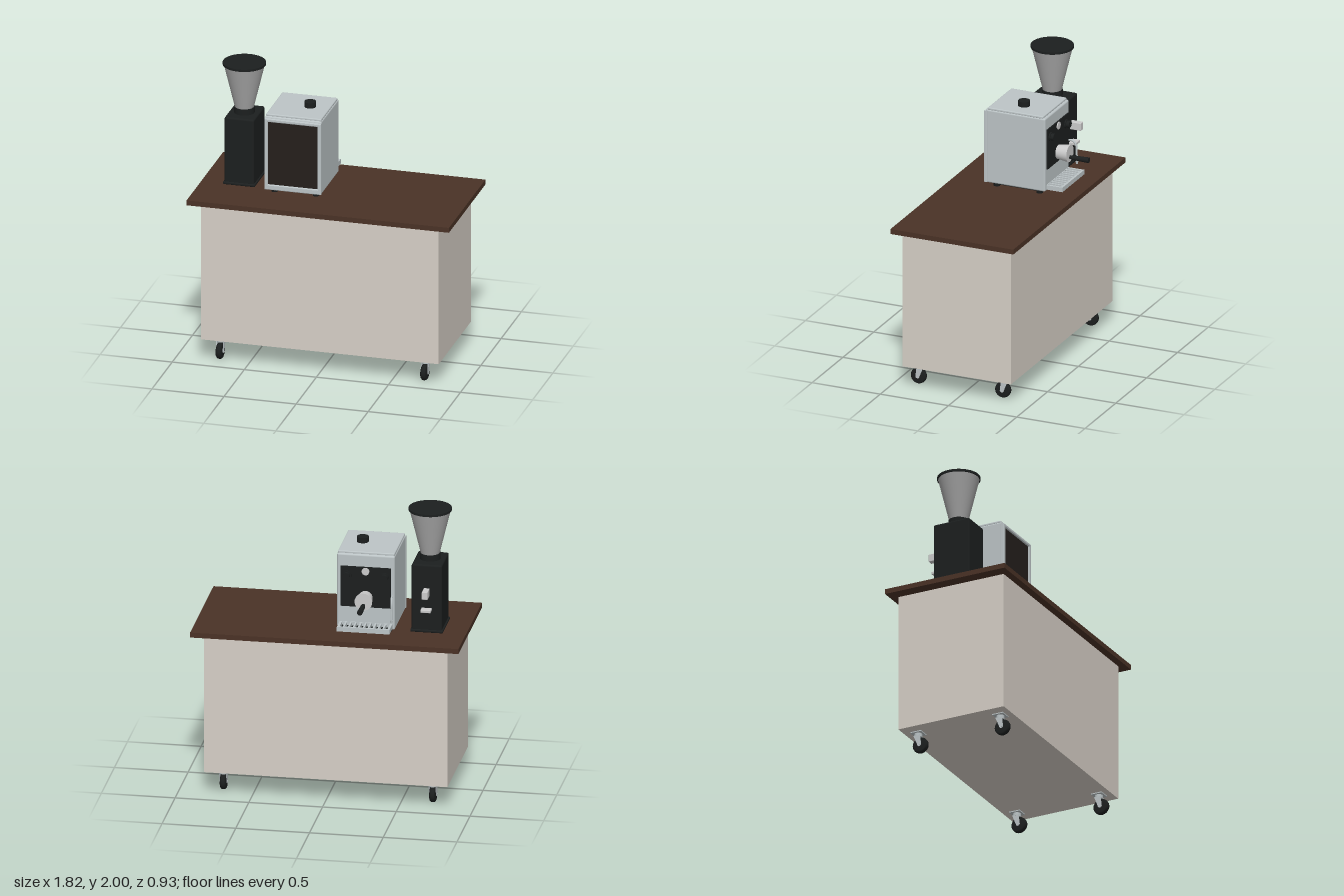
import * as THREE from 'three';
import { RoundedBoxGeometry } from 'three/addons/geometries/RoundedBoxGeometry.js';

const mat = (color) => new THREE.MeshStandardMaterial({ color });
const cream = mat(0xd6cfc6), wood = mat(0x4a3226), black = mat(0x1c1f1f);
const steel = mat(0xbcc4c6), pale = mat(0xcccccc), smoke = mat(0xa8a8a8), glass = mat(0x251f1c);

function add(parent, name, geometry, material, x = 0, y = 0, z = 0) {
  const mesh = new THREE.Mesh(geometry, material);
  mesh.name = name;
  mesh.position.set(x, y, z);
  parent.add(mesh);
  return mesh;
}

// Box given by its min and max on each axis, optionally with rounded edges
function box(parent, name, material, [x0, x1], [y0, y1], [z0, z1], r = 0) {
  const s = [x1 - x0, y1 - y0, z1 - z0];
  const geo = r ? new RoundedBoxGeometry(...s, 3, r) : new THREE.BoxGeometry(...s);
  return add(parent, name, geo, material, (x0 + x1) / 2, (y0 + y1) / 2, (z0 + z1) / 2);
}

// Upright cylinder from y0 to y1
function post(parent, name, material, rTop, rBottom, x, y0, y1, z, sides = 32) {
  return add(parent, name, new THREE.CylinderGeometry(rTop, rBottom, y1 - y0, sides), material, x, (y0 + y1) / 2, z);
}

// Cylinder pointing backwards, from z0 (near the machine) to z1 (outer end)
function rod(parent, name, material, rOuter, rInner, x, y, z0, z1) {
  const mesh = add(parent, name, new THREE.CylinderGeometry(rOuter, rInner, Math.abs(z1 - z0), 28), material, x, y, (z0 + z1) / 2);
  mesh.rotation.x = -Math.PI / 2;
  return mesh;
}

function rect(path, x0, x1, y0, y1) {
  path.moveTo(x0, y0);
  path.lineTo(x1, y0);
  path.lineTo(x1, y1);
  path.lineTo(x0, y1);
  path.closePath();
  return path;
}

function makeCaster(x, z) {
  const g = new THREE.Group();
  g.name = 'caster';
  box(g, 'mountingPlate', steel, [-0.04, 0.04], [0.143, 0.151], [-0.04, 0.04]);
  post(g, 'swivel', steel, 0.027, 0.027, 0, 0.118, 0.145, 0, 20);
  // Fork cheeks lean from the swivel to the axle
  const cheek = new THREE.Shape();
  cheek.moveTo(-0.024, 0.125);
  cheek.lineTo(0.024, 0.125);
  cheek.lineTo(0.032, 0.056);
  cheek.absarc(0.018, 0.056, 0.014, 0, -Math.PI, true);
  const cheekGeo = new THREE.ExtrudeGeometry(cheek, { depth: 0.005, bevelEnabled: false });
  cheekGeo.rotateY(-Math.PI / 2);
  for (const s of [-0.021, 0.026]) add(g, 'forkCheek', cheekGeo, steel, s, 0, 0);
  const tyre = new THREE.LatheGeometry([[0, -0.02], [0.045, -0.02], [0.054, -0.012], [0.056, 0],
    [0.054, 0.012], [0.045, 0.02], [0, 0.02]].map((p) => new THREE.Vector2(...p)), 32);
  add(g, 'wheel', tyre, black, 0, 0.056, 0.018).rotation.z = Math.PI / 2;
  const axle = add(g, 'axle', new THREE.CylinderGeometry(0.008, 0.008, 0.056, 12), steel, 0, 0.056, 0.018);
  axle.rotation.z = Math.PI / 2;
  g.position.set(x, 0, z);
  return g;
}

function makeCart() {
  const g = new THREE.Group();
  g.name = 'cart';
  box(g, 'cabinet', cream, [-0.825, 0.825], [0.15, 1.125], [-0.378, 0.415]);
  box(g, 'countertop', wood, [-0.91, 0.91], [1.125, 1.16], [-0.434, 0.466]);
  for (const x of [-0.71, 0.71]) for (const z of [0.33, -0.288]) g.add(makeCaster(x, z));
  return g;
}

function makeGrinder() {
  const g = new THREE.Group();
  g.name = 'grinder';
  const x = -0.645, z = -0.017;
  box(g, 'grinderBase', black, [x - 0.111, x + 0.111], [1.16, 1.18], [-0.163, 0.122], 0.008);
  box(g, 'grinderBody', black, [x - 0.103, x + 0.103], [1.17, 1.64], [-0.156, 0.115], 0.012);
  post(g, 'hopperCollar', black, 0.07, 0.07, x, 1.635, 1.682, z);
  post(g, 'hopper', smoke, 0.138, 0.064, x, 1.68, 1.985, z, 48);
  post(g, 'hopperLid', black, 0.145, 0.145, x, 1.984, 2, z, 48);
  // Dosing spout and the rest beneath it, on the back
  box(g, 'spout', pale, [x - 0.02, x + 0.02], [1.42, 1.475], [-0.235, -0.15], 0.004);
  box(g, 'filterRest', pale, [x - 0.035, x + 0.035], [1.315, 1.335], [-0.205, -0.15], 0.004);
  return g;
}

function makeEspressoMachine() {
  const g = new THREE.Group();
  g.name = 'espressoMachine';
  const x = -0.246;
  box(g, 'machineBody', steel, [-0.442, -0.05], [1.19, 1.715], [-0.233, 0.2], 0.012);
  box(g, 'topLid', steel, [-0.438, -0.054], [1.71, 1.729], [-0.217, 0.19], 0.007);
  box(g, 'underside', black, [-0.4, -0.092], [1.172, 1.195], [-0.15, 0.12]);
  for (const fx of [-0.39, -0.102]) for (const fz of [0.143, -0.17]) post(g, 'foot', black, 0.025, 0.022, fx, 1.16, 1.194, fz, 20);
  post(g, 'topKnob', black, 0.04, 0.04, -0.188, 1.727, 1.766, -0.017);

  // Bevelled frame around the front panel
  const frame = rect(new THREE.Shape(), -0.436, -0.056, 1.2, 1.697);
  frame.holes.push(rect(new THREE.Path(), -0.424, -0.068, 1.224, 1.687));
  add(g, 'frontFrame', new THREE.ExtrudeGeometry(frame, { depth: 0.014, bevelSize: 0.007, bevelThickness: 0.007, bevelSegments: 3 }), steel, 0, 0, 0.196);
  box(g, 'frontPanel', glass, [-0.419, -0.073], [1.228, 1.682], [0.19, 0.207]);

  // Working side at the back
  box(g, 'controlPanel', black, [-0.416, -0.076], [1.345, 1.63], [-0.241, -0.22]);
  for (const kx of [-0.373, -0.119]) {
    rod(g, 'knobCollar', black, 0.031, 0.031, kx, 1.567, -0.235, -0.25);
    rod(g, 'knob', black, 0.024, 0.024, kx, 1.567, -0.24, -0.272);
  }
  rod(g, 'gauge', pale, 0.026, 0.026, x, 1.6, -0.235, -0.248);
  rod(g, 'groupHead', pale, 0.06, 0.047, x, 1.413, -0.23, -0.327);
  rod(g, 'handleNeck', black, 0.013, 0.013, x, 1.387, -0.32, -0.4);
  rod(g, 'handle', black, 0.019, 0.016, x, 1.387, -0.345, -0.466);

  // Steam wand
  const wand = new THREE.CatmullRomCurve3([[-0.425, 1.43, -0.225], [-0.427, 1.43, -0.265], [-0.43, 1.4, -0.288],
    [-0.43, 1.34, -0.293], [-0.43, 1.272, -0.295]].map((p) => new THREE.Vector3(...p)));
  add(g, 'steamWand', new THREE.TubeGeometry(wand, 24, 0.007, 10), steel);
  post(g, 'wandTip', steel, 0.009, 0.007, -0.43, 1.268, 1.285, -0.295, 12);

  // Drip tray with a slotted grille
  box(g, 'trayFloor', black, [-0.42, -0.077], [1.203, 1.209], [-0.345, -0.22]);
  const grille = rect(new THREE.Shape(), -0.427, -0.07, 0.22, 0.351);
  const slots = 10, pitch = 0.335 / slots;
  for (let i = 0; i < slots; i++) {
    const sx = -0.416 + i * pitch + 0.006;
    grille.holes.push(rect(new THREE.Path(), sx, sx + pitch - 0.012, 0.238, 0.335));
  }
  const grilleGeo = new THREE.ExtrudeGeometry(grille, { depth: 0.032, bevelEnabled: false });
  grilleGeo.rotateX(-Math.PI / 2);
  add(g, 'dripTray', grilleGeo, steel, 0, 1.202, 0);
  return g;
}

export function createModel() {
  const model = new THREE.Group();
  model.name = 'coffeeCart';
  model.add(makeCart(), makeGrinder(), makeEspressoMachine());
  return model;
}
